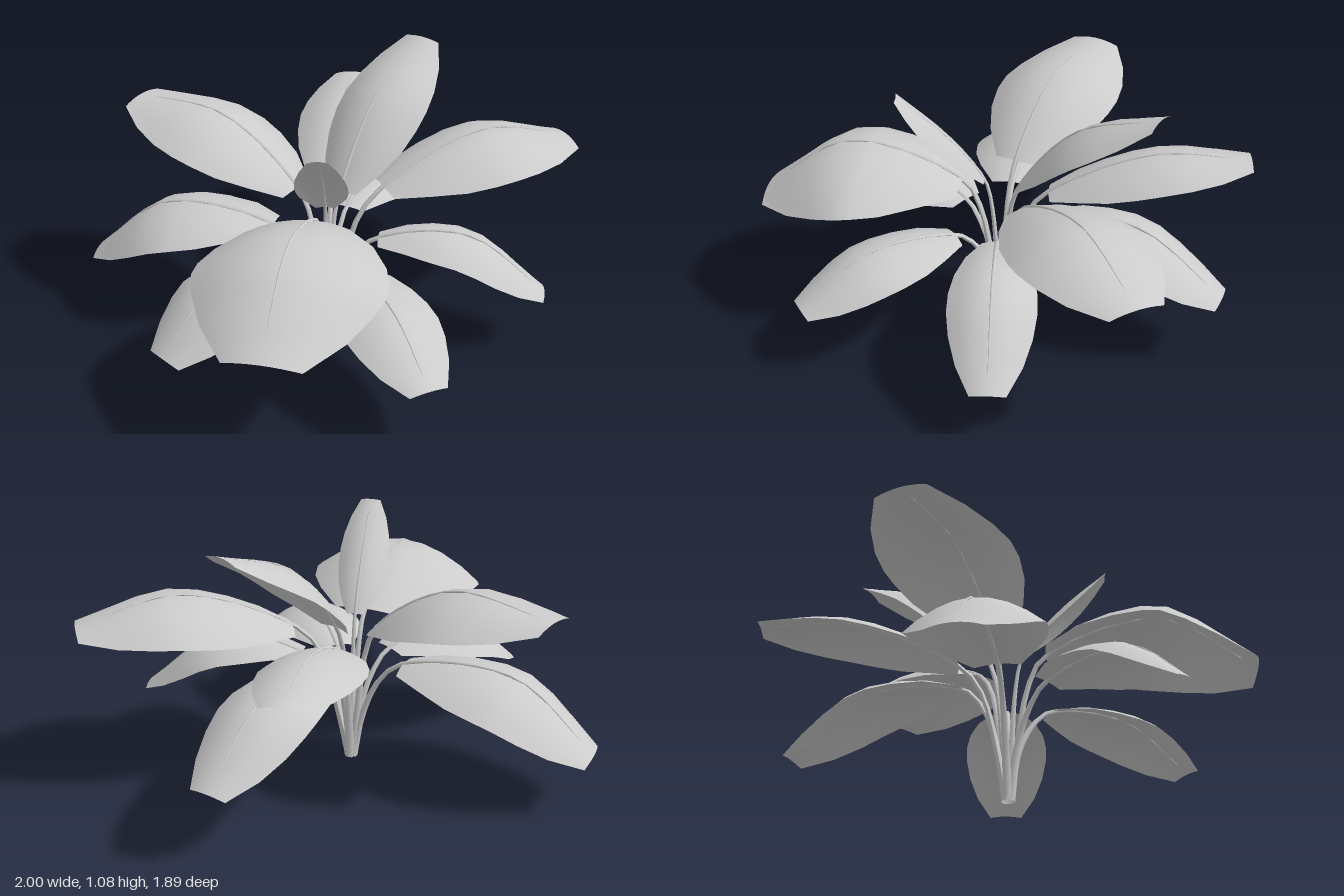
import * as THREE from 'three';

const material = new THREE.MeshStandardMaterial({ color: 0xcccccc, side: THREE.DoubleSide });

// Blade half width at even steps along its length: narrow base, broad middle, blunt tip
const OUTLINE = [0.36, 0.69, 0.9, 0.99, 1, 0.92, 0.73, 0.4];

// Bends a flat grid into the surface point(u, v)
function surface(across, rows, point) {
  const geometry = new THREE.PlaneGeometry(1, 1, across, rows);
  const position = geometry.attributes.position;
  for (let j = 0, i = 0; j <= rows; j++) {
    for (let k = 0; k <= across; k++, i++) {
      const p = point(k / across, j / rows);
      position.setXYZ(i, p.x, p.y, p.z);
    }
  }
  geometry.computeVertexNormals();
  return geometry;
}

// Point on the rib at fraction t, moved sideways and upward across the rib
function offsetFrom(curve, t, sideways, upward) {
  const side = new THREE.Vector3(0, 0, -1);
  const up = curve.getTangentAt(t).cross(side);
  return curve.getPointAt(t).addScaledVector(side, sideways).addScaledVector(up, upward);
}

// One leaf reaching along +x, turned to its heading in degrees.
// The blade runs from base over shoulder to tip, each [distance, height].
function makeLeaf(name, heading, half, base, shoulder, tip) {
  const profile = [[0.01, 0], [0.22 * base[0], 0.2], [0.55 * base[0], 0.8 * base[1]], base, shoulder, tip];
  const curve = new THREE.CatmullRomCurve3(profile.map(([r, y]) => new THREE.Vector3(r, y, 0)));
  let begin = 0;
  while (curve.getPointAt(begin).x < base[0]) begin += 0.005;

  // Blade: arched across its middle, flattening towards base and tip
  const blade = surface(8, OUTLINE.length - 1, (u, v) => {
    const w = OUTLINE[Math.round(v * (OUTLINE.length - 1))];
    const s = u * 2 - 1;
    return offsetFrom(curve, begin + (1 - begin) * v, s * w * half, -0.42 * half * (w * s) ** 2);
  });

  // Stalk: thick at the crown, thinning to a fine midrib
  const stalk = surface(6, 18, (u, v) => {
    const radius = THREE.MathUtils.lerp(0.018, 0.002, Math.pow(v, 0.7));
    const angle = -u * Math.PI * 2;
    return offsetFrom(curve, v * 0.95, radius * Math.cos(angle), radius * Math.sin(angle));
  });

  const leaf = new THREE.Group();
  leaf.name = name;
  for (const [part, geometry] of [['blade', blade], ['stalk', stalk]]) {
    const mesh = new THREE.Mesh(geometry, material);
    mesh.name = part;
    leaf.add(mesh);
  }
  leaf.position.set(-0.077, 0, 0.017);
  leaf.rotation.y = THREE.MathUtils.degToRad(heading);
  return leaf;
}

export function createModel() {
  const plant = new THREE.Group();
  plant.name = 'leafyPlant';
  plant.add(
    // Low, drooping leaves
    makeLeaf('lowLeafBackLeft', 51.5, 0.2, [0.18, 0.485], [0.58, 0.53], [0.94, 0.29]),
    makeLeaf('lowLeafLeft', -18.7, 0.17, [0.2, 0.45], [0.56, 0.485], [0.88, 0.24]),
    makeLeaf('lowLeafFront', -77.7, 0.19, [0.2, 0.41], [0.58, 0.445], [0.88, 0.28]),
    makeLeaf('lowLeafFrontRight', -149, 0.215, [0.19, 0.44], [0.57, 0.47], [0.83, 0.26]),
    makeLeaf('lowLeafBackRight', 150.7, 0.25, [0.22, 0.465], [0.68, 0.5], [1.01, 0.24]),
    // Middle, arching leaves
    makeLeaf('archingLeafBack', 71, 0.19, [0.19, 0.56], [0.6, 0.745], [0.99, 0.735]),
    makeLeaf('archingLeafLeft', 9.5, 0.265, [0.24, 0.62], [0.68, 0.795], [1.08, 0.7]),
    makeLeaf('archingLeafFront', -115.3, 0.36, [0.15, 0.6], [0.6, 0.74], [0.97, 0.505]),
    makeLeaf('archingLeafBackRight', 136.3, 0.26, [0.13, 0.63], [0.47, 0.865], [0.9, 0.86]),
    // Upright leaves
    makeLeaf('uprightLeafBack', 42.2, 0.195, [0.09, 0.61], [0.34, 0.93], [0.68, 1.075]),
    makeLeaf('uprightLeafFront', -106, 0.1, [0.06, 0.61], [0.2, 0.8], [0.4, 0.985]),
  );
  return plant;
}
